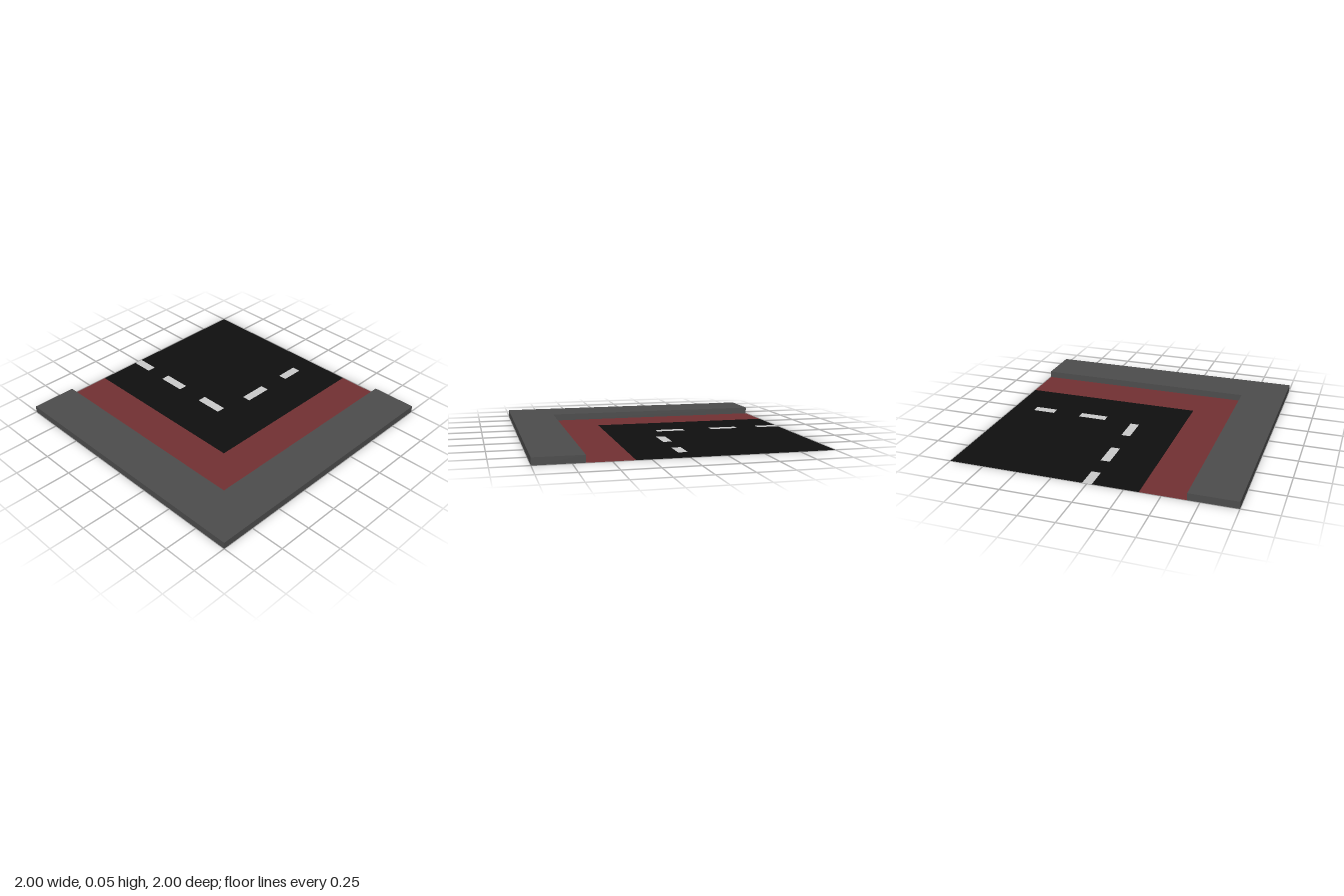
import * as THREE from 'three';
import { mergeGeometries } from 'three/addons/utils/BufferGeometryUtils.js';

const KERB_HEIGHT = 0.05;
const KERB_X = -0.667, KERB_Z = 0.665; // inner edge of the kerb
const ROAD_X = -0.352, ROAD_Z = 0.35;  // edge of the roadway
const HALF_DASH = 0.033;

const makeMaterial = (color) => new THREE.MeshStandardMaterial({ color, side: THREE.DoubleSide });

// Plan outlines are given as [x, z] pairs
const toPlan = (points) => points.map(([x, z]) => new THREE.Vector2(x, -z));

const rectangle = (x0, x1, z0, z1) => [[x0, z1], [x1, z1], [x1, z0], [x0, z0]];

function sheet(points, holes = []) {
  const shape = new THREE.Shape(toPlan(points));
  for (const hole of holes) shape.holes.push(new THREE.Path(toPlan(hole)));
  return new THREE.ShapeGeometry(shape).rotateX(-Math.PI / 2);
}

// L-shaped band along the left and front sides of the tile plan
const band = (x0, x1, z0, z1) => [[x0, z1], [1, z1], [1, z0], [x1, z0], [x1, -1], [x0, -1]];

// Raised top with a wall under every edge, open underneath
function openSlab(points, height) {
  const parts = [sheet(points).translate(0, height, 0)];
  const plan = toPlan(points);
  plan.forEach((a, i) => {
    const b = plan[(i + 1) % plan.length];
    const wall = new THREE.PlaneGeometry(a.distanceTo(b), height);
    wall.rotateY(Math.atan2(b.y - a.y, b.x - a.x));
    wall.translate((a.x + b.x) / 2, height / 2, -(a.y + b.y) / 2);
    parts.push(wall);
  });
  return mergeGeometries(parts);
}

export function createModel() {
  const group = new THREE.Group();
  const add = (name, geometry, material) => {
    const mesh = new THREE.Mesh(geometry, material);
    mesh.name = name;
    group.add(mesh);
  };

  // Raised pavement around the outside of the corner
  add('pavement', openSlab(band(-1, KERB_X, KERB_Z, 1), KERB_HEIGHT), makeMaterial(0x4d4d4d));

  // Red cycle lane
  add('cycleLane', sheet(band(KERB_X, ROAD_X, ROAD_Z, KERB_Z)), makeMaterial(0x733133));

  // Lane dashes, set flush into the roadway
  const w = HALF_DASH;
  const edgeDash = rectangle(-w, w, -1, -0.835);
  const innerDashes = [
    rectangle(-w, w, -0.667, -0.456),
    rectangle(-w, w, -0.244, -w),
    rectangle(0.242, 0.453, -w, w),
    rectangle(0.663, 0.833, -w, w),
  ];
  const dashMaterial = makeMaterial(0xcccccc);
  [edgeDash, ...innerDashes].forEach((dash, i) => add(`laneDash${i + 1}`, sheet(dash), dashMaterial));

  // Roadway, notched for the dash at the back edge
  const roadOutline = [
    [ROAD_X, ROAD_Z], [1, ROAD_Z], [1, -1],
    [w, -1], [w, -0.835], [-w, -0.835], [-w, -1], [ROAD_X, -1],
  ];
  add('roadway', sheet(roadOutline, innerDashes), makeMaterial(0x0f0f0f));

  return group;
}
